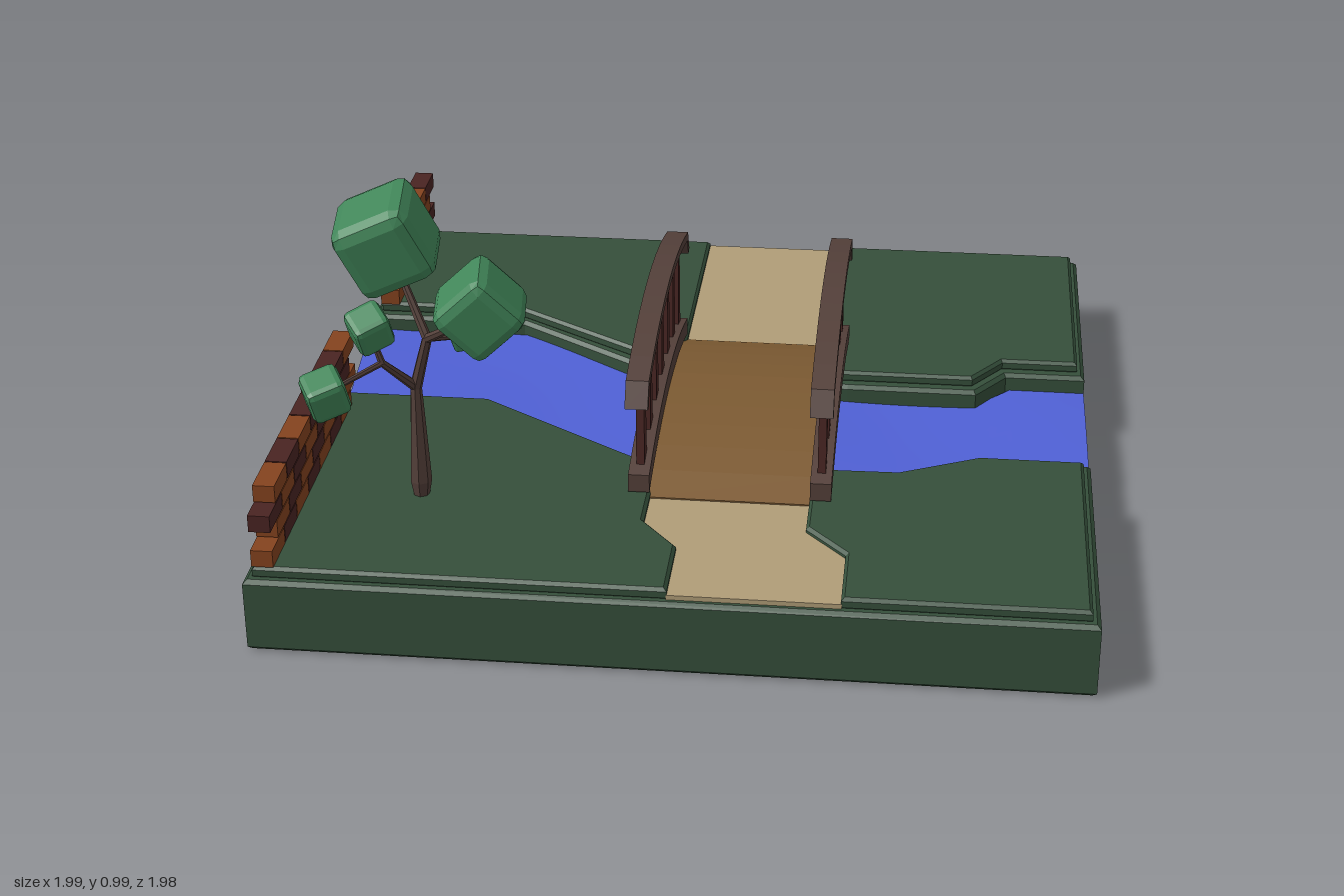
import * as THREE from 'three';
import { RoundedBoxGeometry } from 'three/addons/geometries/RoundedBoxGeometry.js';

const mat = (color, flatShading = true) => new THREE.MeshStandardMaterial({ color, flatShading });
const GRASS = mat(0x354f3b), SAND = mat(0xb09d78), WATER = mat(0x5061d6, false), DECK = mat(0x7c5a32),
  BEAM = mat(0x54403a), POST = mat(0x4a2724), BARK = mat(0x54403a), LEAF = mat(0x418659),
  BRICK = [mat(0x85431f), mat(0x4a2422)];

function add(parent, name, geometry, material) {
  const mesh = new THREE.Mesh(geometry, material);
  mesh.name = name;
  parent.add(mesh);
  return mesh;
}

const shapeOf = (pts) => new THREE.Shape(pts.map(([x, y]) => new THREE.Vector2(x, y)));

// Horizontal slab from an (x, z) outline, bevelled inside its outline
function slab(outline, y0, y1, bevel) {
  const geo = new THREE.ExtrudeGeometry(shapeOf(outline.map(([x, z]) => [x, -z])), {
    depth: y1 - y0 - 2 * bevel, bevelEnabled: bevel > 0, bevelThickness: bevel,
    bevelSize: bevel, bevelOffset: -bevel, bevelSegments: 1,
  });
  return geo.rotateX(-Math.PI / 2).translate(0, y0 + bevel, 0);
}

// Profile in (z, y) extruded across x
function across(profile, x0, x1) {
  const geo = new THREE.ExtrudeGeometry(shapeOf(profile), { depth: x1 - x0, bevelEnabled: false });
  return geo.rotateY(-Math.PI / 2).translate(x1, 0, 0);
}

// River edges as (x, z) points
const NORTH = [[-0.99, -0.43], [-0.56, -0.43], [-0.13, -0.15], [0.36, -0.13], [0.7, -0.13], [0.78, -0.24], [0.99, -0.24]];
const SOUTH = [[-0.99, 0.05], [-0.56, 0.05], [-0.13, 0.32], [0.36, 0.34], [0.5, 0.335], [0.7, 0.24], [0.99, 0.24]];

function edgeZ(edge, x) {
  for (let i = 1; i < edge.length; i++) {
    const [x0, z0] = edge[i - 1], [x1, z1] = edge[i];
    if (x <= x1 || i === edge.length - 1) return z0 + (z1 - z0) * (x - x0) / (x1 - x0);
  }
}

function buildGround(root) {
  const ground = new THREE.Group();
  ground.name = 'ground';
  root.add(ground);
  add(ground, 'backBank', slab([...NORTH, [0.99, -0.99], [-0.99, -0.99]], 0, 0.19, 0.01), GRASS);
  add(ground, 'frontBank', slab([...SOUTH, [0.99, 0.99], [-0.99, 0.99]], 0, 0.19, 0.01), GRASS);
  add(ground, 'riverBed', slab([[-0.98, -0.5], [0.985, -0.5], [0.985, 0.4], [-0.98, 0.4]], 0, 0.05, 0), GRASS);

  // Raised turf on both sides of the sunken path
  const turf = {
    backRightTurf: [[-0.97, -0.97], [-0.09, -0.97], [-0.09, -0.17], [-0.14, -0.19], [-0.57, -0.46], [-0.97, -0.46]],
    backLeftTurf: [[0.3, -0.97], [0.97, -0.97], [0.97, -0.27], [0.77, -0.27], [0.69, -0.16], [0.3, -0.16]],
    frontRightTurf: [[-0.97, 0.97], [0, 0.97], [0, 0.77], [-0.09, 0.66], [-0.09, 0.38], [-0.14, 0.36], [-0.57, 0.08], [-0.97, 0.08]],
    frontLeftTurf: [[0.4, 0.97], [0.97, 0.97], [0.97, 0.27], [0.71, 0.27], [0.51, 0.365], [0.3, 0.37], [0.3, 0.66], [0.4, 0.77]],
  };
  for (const [name, outline] of Object.entries(turf)) add(ground, name, slab(outline, 0.185, 0.217, 0.008), GRASS);

  add(ground, 'backPath', slab([[-0.095, -0.972], [0.305, -0.972], [0.305, -0.3], [-0.095, -0.3]], 0.18, 0.202, 0), SAND);
  add(ground, 'frontPath', slab([[-0.095, 0.45], [-0.095, 0.66], [-0.002, 0.775], [-0.002, 0.972],
    [0.402, 0.972], [0.402, 0.765], [0.305, 0.655], [0.305, 0.45]], 0.18, 0.202, 0), SAND);

  // Water: a divided box bent to the river edges with gentle waves
  const water = new THREE.BoxGeometry(1, 1, 1, 40, 1, 10);
  const p = water.attributes.position;
  for (let i = 0; i < p.count; i++) {
    const u = p.getX(i) + 0.5, v = p.getZ(i) + 0.5;
    const x = -1 + 0.04 * v * (1 - u) + u * (1.99 - 0.0);
    const z = THREE.MathUtils.lerp(edgeZ(NORTH, x), edgeZ(SOUTH, x), v);
    const top = 0.142 + 0.007 * Math.sin(x * 7 + 1) * Math.cos(z * 6) + 0.01 * (1 - u);
    p.setXYZ(i, x, p.getY(i) > 0 ? top : 0.05 - 0.02 * Math.max(0, 1 - u * 8), z);
  }
  water.computeVertexNormals();
  add(ground, 'river', water, WATER);
}

function buildBridge(root) {
  const bridge = new THREE.Group();
  bridge.name = 'bridge';
  root.add(bridge);
  const C = 0.1; // middle of the span in z
  const steps = (half, n = 10) => Array.from({ length: n + 1 }, (_, i) => -half + 2 * half * i / n);
  const curve = (half, peak, k) => steps(half).map((d) => [C + d, peak - k * d * d]);

  // Arched deck with an opening below
  const arch = curve(0.26, 0.212, 1.0).reverse();
  add(bridge, 'deck', across([[C - 0.435, 0.19], ...curve(0.435, 0.285, 0.42), [C + 0.435, 0.19],
    [C + 0.27, 0.13], ...arch, [C - 0.27, 0.13]], -0.1, 0.31), DECK);

  for (const x of [-0.117, 0.327]) {
    const side = x < 0 ? 'right' : 'left';
    add(bridge, side + 'Beam', across([...curve(0.44, 0.332, 0.33),
      ...curve(0.44, 0.285, 0.33).reverse()], x - 0.026, x + 0.026), BEAM);

    // Handrail with its ends turned down
    add(bridge, side + 'Handrail', across([[C - 0.472, 0.465], ...curve(0.44, 0.588, 0.32), [C + 0.472, 0.465],
      [C + 0.45, 0.458], ...curve(0.425, 0.565, 0.32).reverse(), [C - 0.45, 0.458]], x - 0.028, x + 0.028), BEAM);

    // Tapered balusters
    for (let i = -3; i <= 3; i++) {
      const d = i * 0.126, y0 = 0.31 - 0.33 * d * d, y1 = 0.575 - 0.32 * d * d;
      add(bridge, side + 'Baluster', across([[C + d - 0.026, y0], [C + d - 0.014, y1],
        [C + d + 0.014, y1], [C + d + 0.026, y0]], x - 0.01, x + 0.01), POST);
    }
  }
}

function buildTree(root) {
  const tree = new THREE.Group();
  tree.name = 'tree';
  root.add(tree);
  const limb = (name, a, b, r0, r1) => {
    const A = new THREE.Vector3(...a), B = new THREE.Vector3(...b), dir = B.clone().sub(A);
    const mesh = add(tree, name, new THREE.CylinderGeometry(r1, r0, dir.length(), 7), BARK);
    mesh.position.copy(A).lerp(B, 0.5);
    mesh.quaternion.setFromUnitVectors(new THREE.Vector3(0, 1, 0), dir.normalize());
  };
  // Trunk and branches
  const fork = [-0.645, 0.51, 0.59], upper = [-0.61, 0.645, 0.6], side = [-0.71, 0.6, 0.65];
  limb('trunkFoot', [-0.645, 0.21, 0.59], [-0.645, 0.255, 0.59], 0.019, 0.027);
  limb('trunk', [-0.645, 0.255, 0.59], fork, 0.027, 0.014);
  limb('upperBranch', fork, upper, 0.015, 0.012);
  limb('sideBranch', fork, side, 0.013, 0.009);
  limb('branch', upper, [-0.7, 0.82, 0.52], 0.012, 0.008);
  limb('branch', upper, [-0.48, 0.75, 0.7], 0.012, 0.008);
  limb('twig', upper, [-0.53, 0.635, 0.56], 0.009, 0.006);
  limb('twig', side, [-0.735, 0.68, 0.65], 0.009, 0.006);
  limb('twig', side, [-0.82, 0.575, 0.77], 0.008, 0.006);

  // Chamfered leaf blocks: position, size, tilt
  const leaves = [
    [[-0.715, 0.86, 0.51], 0.2, [0.15, 0.1, 0.42]],
    [[-0.457, 0.785, 0.71], 0.165, [0.1, 0.12, 0.75]],
    [[-0.735, 0.69, 0.65], 0.09, [0.4, 0.6, 0.1]],
    [[-0.82, 0.575, 0.77], 0.095, [0.25, 0.5, 0.15]],
    [[-0.53, 0.635, 0.56], 0.055, [0.3, 0.1, 0.2]],
  ];
  for (const [pos, s, tilt] of leaves) {
    const leaf = add(tree, 'foliage', new RoundedBoxGeometry(s, s, s, 1, s * 0.17), LEAF);
    leaf.position.set(...pos);
    leaf.rotation.set(...tilt);
  }
}

// Brick wall running along z, alternate rows shifted by half a brick
function buildWall(root, name, zStart, count) {
  const wall = new THREE.Group();
  wall.name = name;
  root.add(wall);
  const pitch = 0.117;
  for (let row = 0; row < 4; row++) {
    for (let i = 0; i < count; i++) {
      const brick = add(wall, 'brick', new THREE.BoxGeometry(0.052, 0.043, pitch - 0.004), BRICK[(i + (row === 2 ? 1 : 0)) % 2]);
      brick.position.set(-0.944, 0.24 + row * 0.0465, zStart - (i + 0.5 + (row % 2) * 0.5) * pitch);
    }
  }
}

export function createModel() {
  const root = new THREE.Group();
  root.name = 'bridgeGarden';
  buildGround(root);
  buildBridge(root);
  buildTree(root);
  buildWall(root, 'frontWall', 0.972, 7);
  buildWall(root, 'backWall', -0.445, 4);
  return root;
}
